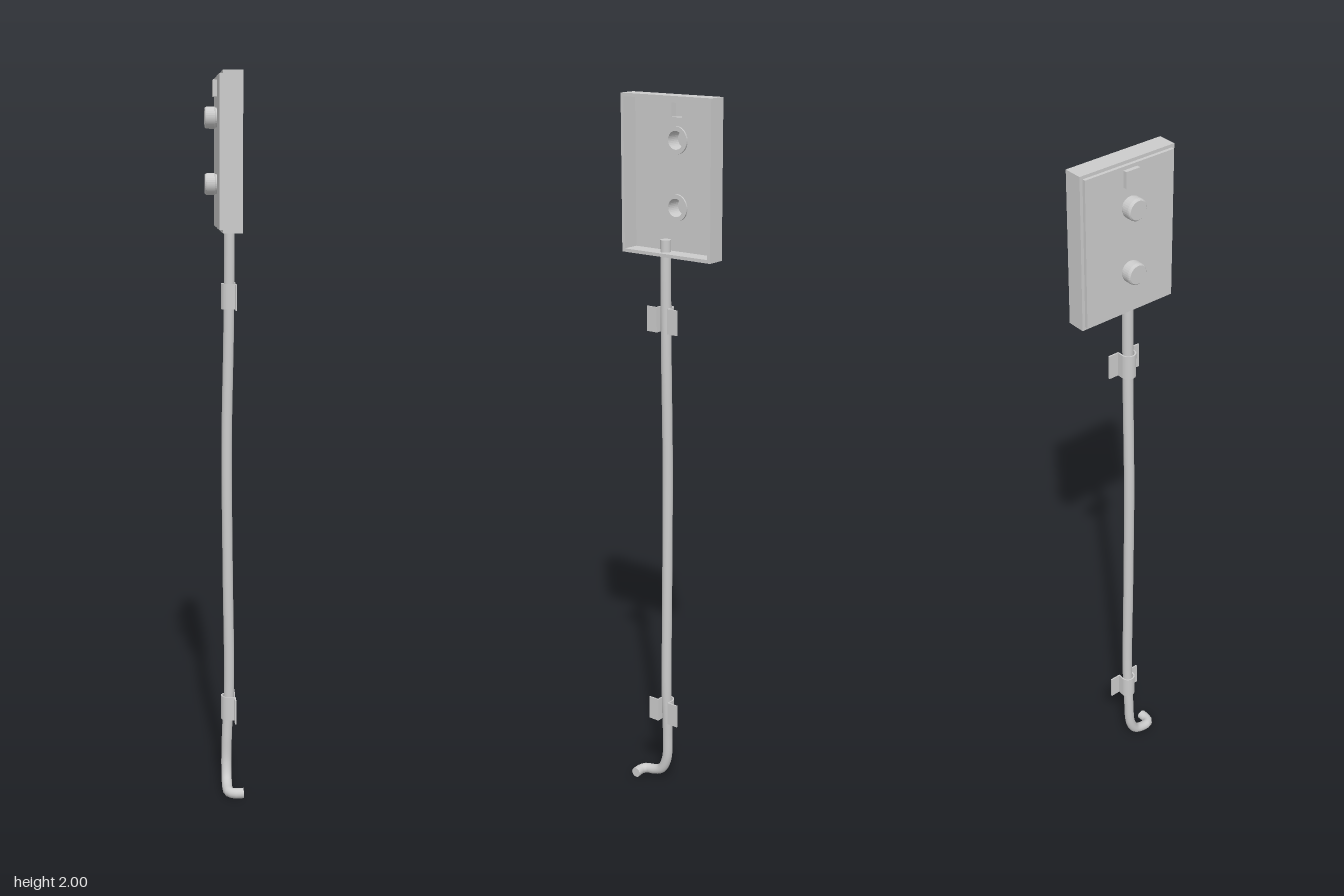
import * as THREE from 'three';

export function createModel() {
  const model = new THREE.Group();
  const grey = new THREE.MeshStandardMaterial({ color: 0xcccccc, side: THREE.DoubleSide });
  const add = (name, geometry, x = 0, y = 0, z = 0) => {
    const mesh = new THREE.Mesh(geometry, grey);
    mesh.name = name;
    mesh.position.set(x, y, z);
    model.add(mesh);
    return mesh;
  };
  const rect = (T, w, h, cy = 0) => new T([
    [-w / 2, cy - h / 2], [w / 2, cy - h / 2], [w / 2, cy + h / 2], [-w / 2, cy + h / 2],
  ].map(p => new THREE.Vector2(...p)));
  const circle = (cy, r) => {
    const path = new THREE.Path();
    path.absarc(0, cy, r, 0, Math.PI * 2, true);
    return path;
  };
  // Extrudes a (z, y) outline from startX towards -x
  const slab = (name, shape, holes, startX, depth, y) => {
    shape.holes.push(...holes);
    const geometry = new THREE.ExtrudeGeometry(shape, { depth, bevelEnabled: false, curveSegments: 24 });
    geometry.rotateY(-Math.PI / 2);
    return add(name, geometry, startX, y, 0);
  };

  // Control box: open-sided frame and a face plate with button and window openings
  const boxY = 1.793;
  const buttons = [0.091, -0.083];
  const windowY = 0.167;
  slab('boxFrame', rect(THREE.Shape, 0.29, 0.414), [rect(THREE.Path, 0.272, 0.396)], 0.041, 0.052, boxY);
  slab('facePlate', rect(THREE.Shape, 0.273, 0.397),
    [...buttons.map(y => circle(y, 0.026)), rect(THREE.Path, 0.034, 0.036, windowY)], -0.008, 0.012, boxY);

  // Hollow push buttons with a retaining ring inside the box
  const buttonProfile = [
    [0.024, 0.003], [0.036, 0.003], [0.036, 0.008], [0.026, 0.008], [0.026, 0.024], [0.029, 0.026],
    [0.029, 0.045], [0.028, 0.049], [0.025, 0.052], [0, 0.052],
    [0, 0.046], [0.024, 0.046], [0.024, 0.003],
  ].map(p => new THREE.Vector2(...p));
  for (const y of buttons) {
    const geometry = new THREE.LatheGeometry(buttonProfile, 32).toNonIndexed();
    geometry.computeVertexNormals();
    geometry.rotateZ(Math.PI / 2);
    add('pushButton', geometry, 0, boxY + y, 0);
  }

  // Small indicator window: raised rim and a thin cover
  slab('indicatorRim', rect(THREE.Shape, 0.042, 0.044), [rect(THREE.Path, 0.034, 0.036)], -0.02, 0.011, boxY + windowY);
  add('indicatorCover', new THREE.BoxGeometry(0.003, 0.036, 0.034), -0.0295, boxY + windowY, 0);

  // Conduit: gently wavy pipe that hooks forward and sideways at the foot
  const path = new THREE.CatmullRomCurve3([
    [0.013, 1.627, 0.02], [0.013, 1.5, 0.02], [0.011, 1.3, 0.02], [0.006, 1.0, 0.02],
    [0.009, 0.65, 0.02], [0.013, 0.3, 0.02], [0.007, 0.16, 0.021], [0.005, 0.075, 0.026],
    [0.005, 0.035, 0.045], [0.005, 0.021, 0.075], [0.008, 0.018, 0.099],
    [0.021, 0.017, 0.109], [0.049, 0.017, 0.109],
  ].map(p => new THREE.Vector3(...p)));
  add('conduit', new THREE.TubeGeometry(path, 160, 0.0145, 16, false));
  const capTop = add('conduitTopEnd', new THREE.CircleGeometry(0.0145, 16), 0.013, 1.627, 0.02);
  capTop.rotation.x = -Math.PI / 2;
  const capFoot = add('conduitFootEnd', new THREE.CircleGeometry(0.0145, 16), 0.049, 0.017, 0.109);
  capFoot.rotation.y = Math.PI / 2;

  // Saddle clips: a strap around the pipe with a flat flange on each side
  const r = 0.021, t = 0.004, cx = 0.011, foot = 0.031;
  const strap = new THREE.Shape();
  strap.moveTo(foot, 0.05);
  strap.lineTo(foot, r - t);
  strap.lineTo(cx, r - t);
  strap.absarc(cx, 0, r - t, Math.PI / 2, Math.PI * 1.5, false);
  strap.lineTo(foot, t - r);
  strap.lineTo(foot, -0.05);
  strap.lineTo(foot - t, -0.05);
  strap.lineTo(foot - t, -r);
  strap.lineTo(cx, -r);
  strap.absarc(cx, 0, r, Math.PI * 1.5, Math.PI / 2, true);
  strap.lineTo(foot - t, r);
  strap.lineTo(foot - t, 0.05);
  strap.closePath();
  for (const y of [1.377, 0.207]) {
    const geometry = new THREE.ExtrudeGeometry(strap, { depth: 0.069, bevelEnabled: false, curveSegments: 16 });
    geometry.rotateX(-Math.PI / 2);
    add('saddleClip', geometry, 0, y, 0.02);
  }
  return model;
}
